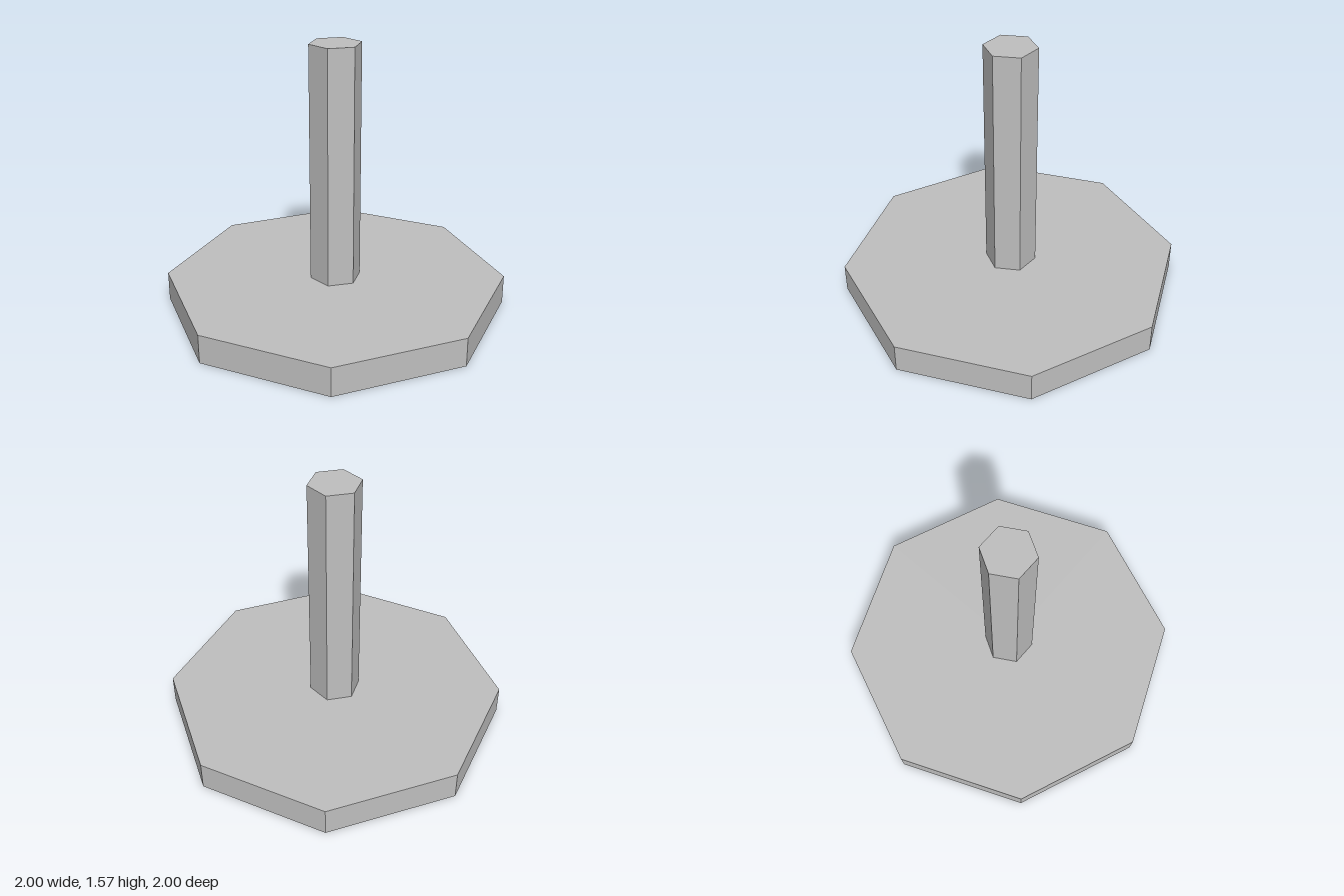
import * as THREE from 'three';

export function createModel() {
  const model = new THREE.Group();
  const grey = new THREE.MeshStandardMaterial({ color: 0xc0c0c0, flatShading: true });
  grey.name = 'light grey';

  // Upright prism standing on height y, with a corner facing the front
  const addPrism = (name, radius, y, height, sides) => {
    const mesh = new THREE.Mesh(new THREE.CylinderGeometry(radius, radius, height, sides), grey);
    mesh.name = name;
    mesh.position.y = y + height / 2;
    model.add(mesh);
  };

  // Eight-sided base plate and six-sided post
  addPrism('base', 1, 0, 0.17, 8);
  addPrism('post', 0.15, 0.17, 1.4, 6);

  return model;
}
